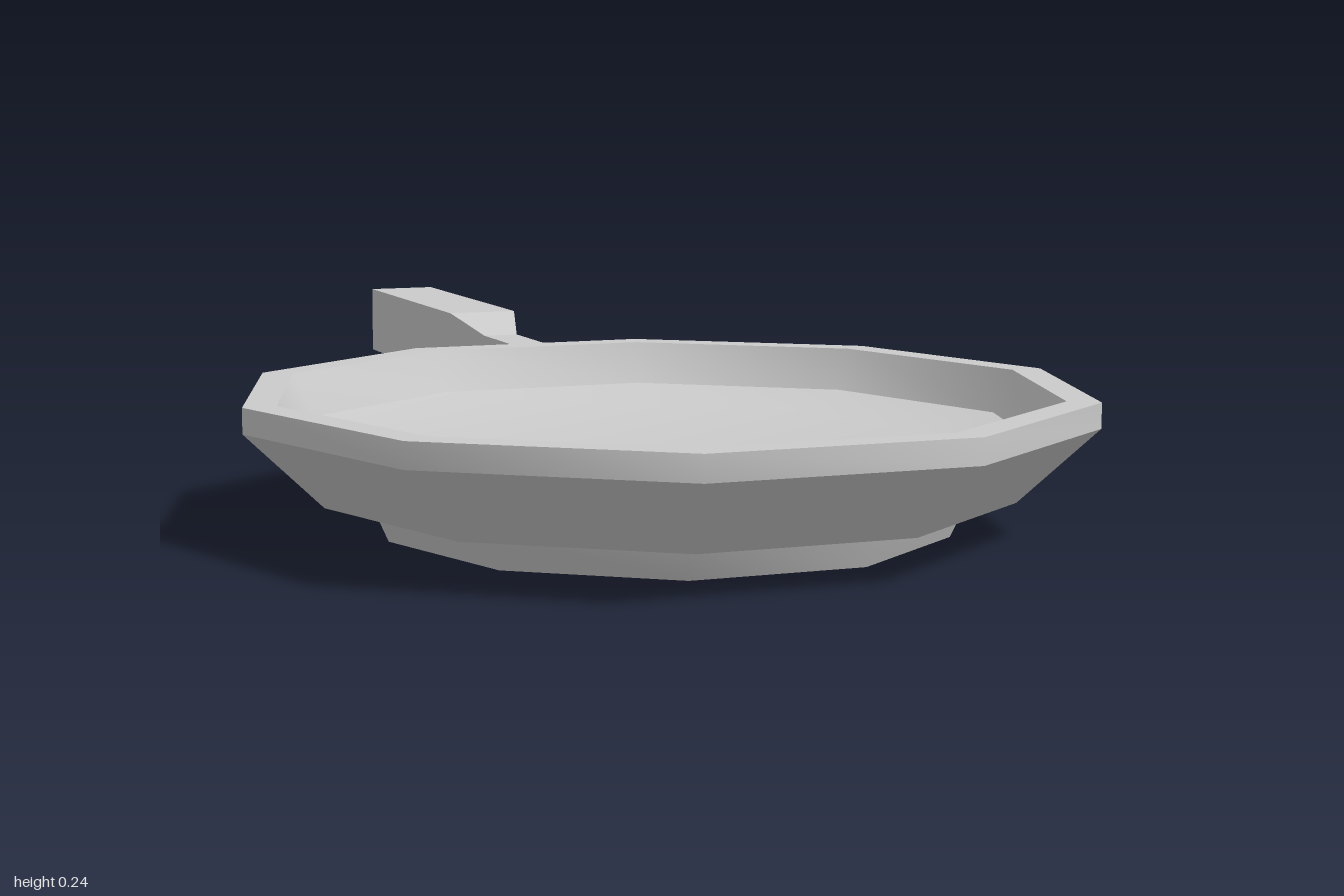
import * as THREE from 'three';
import { toCreasedNormals } from 'three/addons/utils/BufferGeometryUtils.js';

const material = new THREE.MeshStandardMaterial({ color: 0xcccccc });

// Square-section bar lofted through stations [z, halfWidth, yBottom, yTop], running towards -z
function loftBar(stations) {
  const positions = [];
  const index = [];
  for (const [z, w, y0, y1] of stations) {
    positions.push(-w, y0, z, w, y0, z, w, y1, z, -w, y1, z);
  }
  for (let s = 0; s < stations.length - 1; s++) {
    for (let i = 0; i < 4; i++) {
      const a = s * 4 + i;
      const b = s * 4 + ((i + 1) % 4);
      index.push(a, a + 4, b, b, a + 4, b + 4);
    }
  }
  const e = (stations.length - 1) * 4;
  index.push(0, 1, 2, 0, 2, 3, e, e + 2, e + 1, e, e + 3, e + 2);
  const geometry = new THREE.BufferGeometry();
  geometry.setAttribute('position', new THREE.Float32BufferAttribute(positions, 3));
  geometry.setIndex(index);
  return toCreasedNormals(geometry, 0.1);
}

export function createModel() {
  const model = new THREE.Group();
  model.name = 'fryingPan';

  // Ten-sided pan: stepped foot, flared wall, flat rim and shallow dished floor
  const profile = [
    [0, 0], [0.43, 0], [0.455, 0.055], [0.525, 0.055], [0.643, 0.168], [0.643, 0.206],
    [0.593, 0.206], [0.56, 0.14], [0.44, 0.118], [0, 0.118],
  ].map(([r, y]) => new THREE.Vector2(r, y));
  const lathe = new THREE.LatheGeometry(profile, 10, Math.PI / 10);
  // Smooth around the sides, sharp between the bands
  const pan = new THREE.Mesh(toCreasedNormals(lathe, THREE.MathUtils.degToRad(40)), material);
  pan.name = 'panBody';
  pan.position.z = 0.39;
  model.add(pan);

  // Handle: thin neck, flared grip, chamfered tip
  const handle = new THREE.Mesh(loftBar([
    [-0.19, 0.03, 0.15, 0.206],
    [-0.36, 0.03, 0.15, 0.206],
    [-0.46, 0.06, 0.118, 0.237],
    [-0.96, 0.06, 0.118, 0.237],
    [-1, 0.046, 0.13, 0.225],
  ]), material);
  handle.name = 'handle';
  model.add(handle);

  return model;
}
